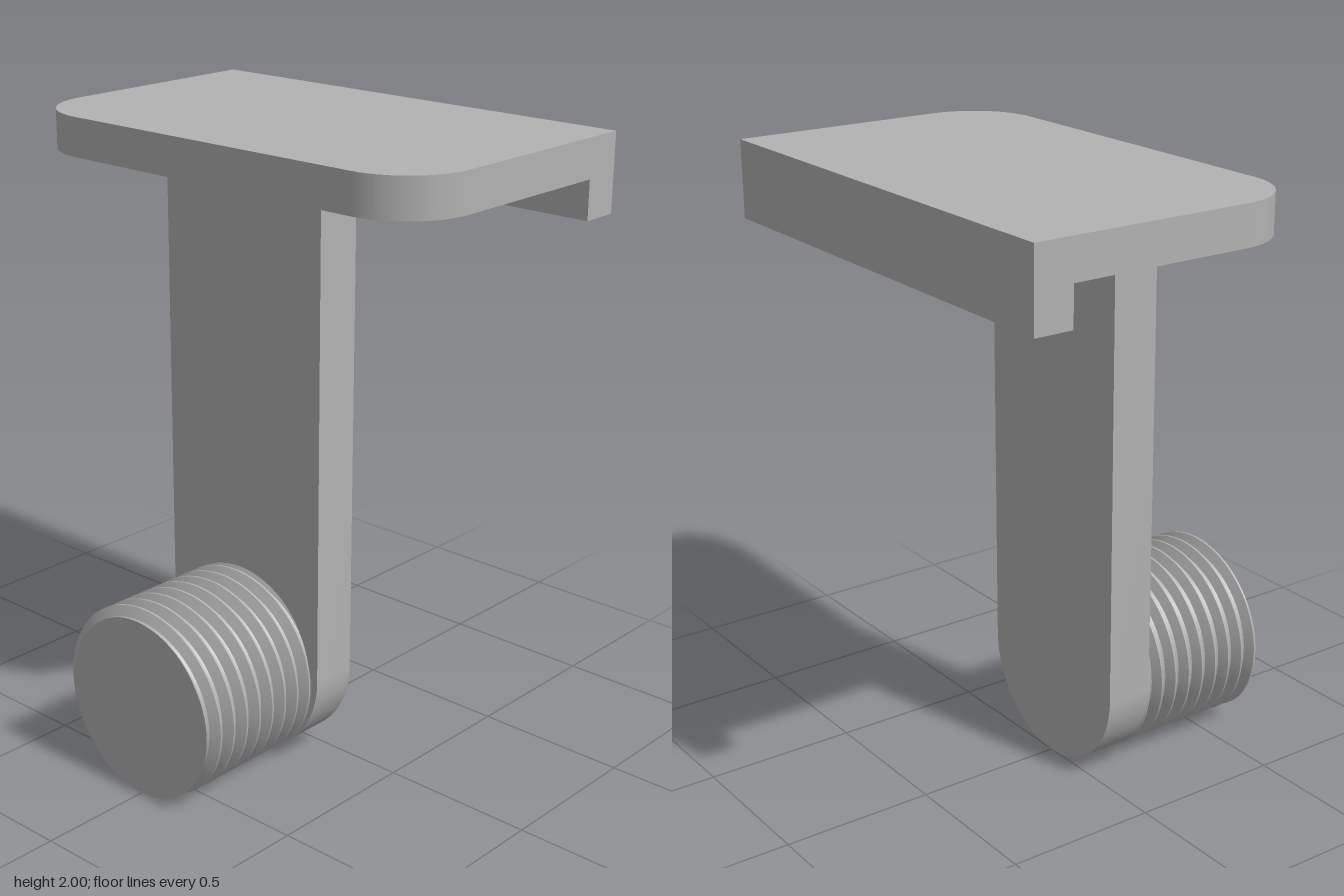
import * as THREE from 'three';
import { toCreasedNormals } from 'three/addons/utils/BufferGeometryUtils.js';

const grey = new THREE.MeshStandardMaterial({ color: 0xb2b2b2 });
grey.name = 'grey';

const R = 0.3125;                 // stem half width and thread crest radius
const BACK = 0.15625, FRONT = 0.625; // z range of the screw
const PITCH = 0.0565, CREST = 0.584; // thread pitch, z of a crest at angle 0

function part(name, geometry) {
  const mesh = new THREE.Mesh(geometry, grey);
  mesh.name = name;
  return mesh;
}

// Thread profile over one pitch: [phase, radius]
const PROFILE = [[0, 0.311], [0.06, 0.311], [0.36, 0.28], [0.5, 0.277], [0.64, 0.28], [0.94, 0.311], [1, 0.311]];

function threadRadius(phase) {
  const p = phase - Math.floor(phase);
  let i = 1;
  while (i < PROFILE.length - 1 && p > PROFILE[i][0]) i++;
  const [a, ra] = PROFILE[i - 1], [b, rb] = PROFILE[i];
  return THREE.MathUtils.lerp(ra, rb, (p - a) / (b - a));
}

// Right-handed thread: rows follow the helix and are trimmed at both ends
function threadGeometry(segments = 96) {
  const phases = [];
  for (let turn = -10; turn <= 2; turn++) {
    for (const [p] of PROFILE.slice(0, -1)) phases.push(turn + p);
  }
  const point = (phase, s) => {
    const t = s / segments, angle = t * Math.PI * 2;
    const z = THREE.MathUtils.clamp(CREST + PITCH * (phase + t), BACK, FRONT);
    const r = threadRadius((z - CREST) / PITCH - t);
    return new THREE.Vector3(r * Math.cos(angle), r * Math.sin(angle), z);
  };
  const positions = [];
  const triangle = (a, b, c) => {
    const area = b.clone().sub(a).cross(c.clone().sub(a)).length();
    if (area > 1e-9) for (const v of [a, b, c]) positions.push(v.x, v.y, v.z);
  };
  const centre = new THREE.Vector3(0, 0, FRONT);
  for (let s = 0; s < segments; s++) {
    for (let j = 0; j < phases.length - 1; j++) {
      const a = point(phases[j], s), b = point(phases[j], s + 1);
      const c = point(phases[j + 1], s + 1), d = point(phases[j + 1], s);
      triangle(a, b, c);
      triangle(a, c, d);
    }
    // flat end face
    triangle(centre, point(5, s), point(5, s + 1));
  }
  const geometry = new THREE.BufferGeometry();
  geometry.setAttribute('position', new THREE.Float32BufferAttribute(positions, 3));
  return toCreasedNormals(geometry, 0.5);
}

export function createModel() {
  const model = new THREE.Group();
  model.name = 'threadedBracket';

  // Top plate with two rounded front corners
  const w = 0.78125, back = 0.625, front = 0.3125, r = 0.23;
  const plate = new THREE.Shape();
  plate.moveTo(-w, back);
  plate.lineTo(-w, -front + r);
  plate.absarc(-w + r, -front + r, r, Math.PI, Math.PI * 1.5, false);
  plate.absarc(w - r, -front + r, r, Math.PI * 1.5, Math.PI * 2, false);
  plate.lineTo(w, back);
  plate.closePath();
  const plateGeometry = new THREE.ExtrudeGeometry(plate, { depth: 0.125, bevelEnabled: false, curveSegments: 24 });
  plateGeometry.rotateX(-Math.PI / 2).translate(0, 1.875, 0);
  model.add(part('topPlate', toCreasedNormals(plateGeometry, 0.5)));

  // Lip hanging from the back edge
  const lip = new THREE.BoxGeometry(w * 2, 0.125, 0.125);
  lip.translate(0, 1.8125, -0.5625);
  model.add(part('backLip', lip));

  // Upright stem with a rounded foot
  const stem = new THREE.Shape();
  stem.moveTo(R, 1.875);
  stem.lineTo(-R, 1.875);
  stem.lineTo(-R, R);
  stem.absarc(0, R, R, Math.PI, Math.PI * 2, false);
  stem.closePath();
  const stemGeometry = new THREE.ExtrudeGeometry(stem, { depth: BACK, bevelEnabled: false, curveSegments: 48 });
  model.add(part('stem', toCreasedNormals(stemGeometry, 0.5)));

  // Threaded stud on the front of the foot
  const screw = part('threadedStud', threadGeometry());
  screw.position.y = R;
  model.add(screw);

  return model;
}
